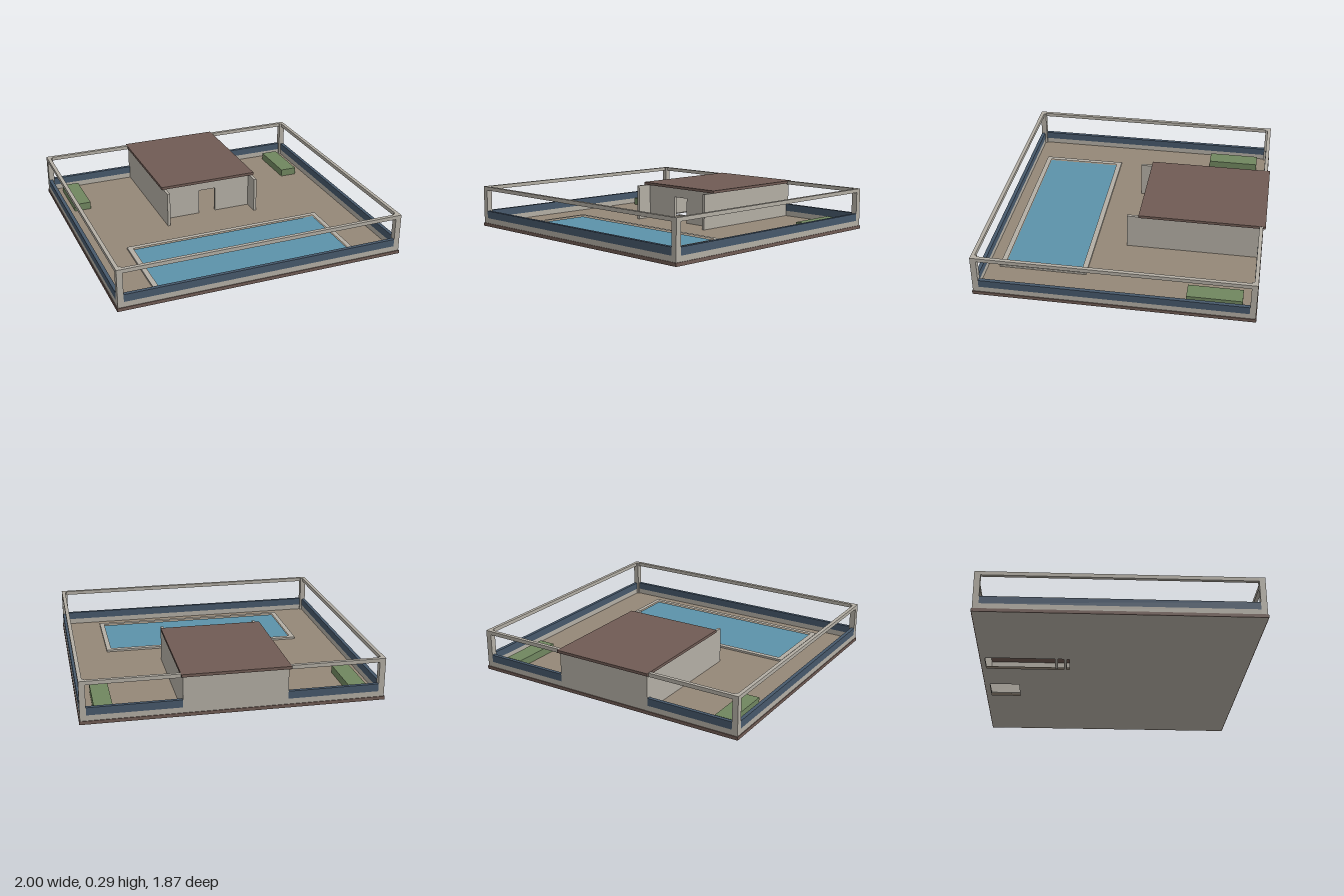
import * as THREE from 'three';

export function createModel() {
  const model = new THREE.Group();
  const mat = (name, color) => {
    const m = new THREE.MeshStandardMaterial({ color });
    m.name = name;
    return m;
  };
  const concrete = mat('concrete', 0xb3aea4);
  const brown = mat('roof brown', 0x705b54);
  const tan = mat('tan paving', 0x948777);
  const blue = mat('blue glass band', 0x46586b);
  const water = mat('pool water', 0x5c92aa);
  const green = mat('hedge green', 0x70865f);

  // Box given by its limits on each axis
  const box = (name, m, x0, x1, y0, y1, z0, z1) => {
    const mesh = new THREE.Mesh(new THREE.BoxGeometry(x1 - x0, y1 - y0, z1 - z0), m);
    mesh.position.set((x0 + x1) / 2, (y0 + y1) / 2, (z0 + z1) / 2);
    mesh.name = name;
    model.add(mesh);
    return mesh;
  };
  const rect = (Type, [x0, x1, z0, z1]) => new Type([
    new THREE.Vector2(x0, -z0), new THREE.Vector2(x1, -z0),
    new THREE.Vector2(x1, -z1), new THREE.Vector2(x0, -z1)]);
  // Horizontal plate with rectangular openings
  const plate = (name, m, y0, y1, outer, holes) => {
    const shape = rect(THREE.Shape, outer);
    shape.holes = holes.map(h => rect(THREE.Path, h));
    const geo = new THREE.ExtrudeGeometry(shape, { depth: y1 - y0, bevelEnabled: false });
    geo.rotateX(-Math.PI / 2);
    const mesh = new THREE.Mesh(geo, m);
    mesh.position.y = y0;
    mesh.name = name;
    model.add(mesh);
  };

  const X = 0.995, ZB = -0.92, ZF = 0.932, T = 0.025, P = 0.04, F = 0.022, H = 0.29;
  const openings = [[0.12, 0.325, -0.885, -0.675], [-0.325, -0.155, -0.89, -0.31]];

  // Slab, paving and the skirting around them
  plate('slab', concrete, 0, 0.016, [-X, X, ZB, ZF], openings);
  plate('paving', tan, 0.016, F, [-X, X, ZB, ZF], openings);
  plate('skirting', brown, 0, F + 0.001, [-1, 1, -0.925, 0.937], [[-X, X, ZB, ZF]]);

  // Perimeter: low wall, blue band and top rail, with the hut filling a gap at the back
  const W = 0.345;
  const layers = [['lowWall', concrete, F, 0.06], ['blueBand', blue, 0.06, 0.112], ['topRail', concrete, 0.264, H]];
  for (const [name, m, y0, y1] of layers) {
    box(name + 'Front', m, -X + P, X - P, y0, y1, ZF - T, ZF);
    for (const s of [-1, 1]) {
      const a = s * (X - T), b = s * X;
      box(name + 'Side', m, Math.min(a, b), Math.max(a, b), y0, y1, ZB + P, ZF - P);
      const c = s * W, d = s * (X - P);
      box(name + 'Back', m, Math.min(c, d), Math.max(c, d), y0, y1, ZB, ZB + T);
    }
  }
  for (const x of [-X, X - P]) for (const z of [ZB, ZF - P])
    box('cornerPost', concrete, x, x + P, F, H, z, z + P);

  // Hut: side walls run forward past the front wall as wings
  const top = 0.272, fz = -0.1, t = 0.02;
  for (const x of [-W, W - t]) box('hutSideWall', concrete, x, x + t, F, top, ZB, 0.012);
  box('hutBackWall', concrete, -W + t, W - t, F, top, ZB, ZB + t);
  for (const s of [-1, 1]) {
    const a = s * 0.0625, b = s * (W - t);
    box('hutFrontWall', concrete, Math.min(a, b), Math.max(a, b), F, top, fz - t, fz);
  }
  box('doorLintel', concrete, -0.0625, 0.0625, 0.203, top, fz - t, fz);
  box('hutRoof', brown, -0.358, 0.356, top, H + 0.001, -0.937, -0.07);

  // Treads at the front end of the stair opening
  for (let i = 0; i < 2; i++)
    box('stairTread', concrete, -0.325, -0.155, 0.002, 0.01, -0.35 - i * 0.06, -0.33 - i * 0.06);

  // Pool
  plate('poolRim', concrete, F, 0.036, [-0.72, 0.715, 0.23, 0.828], [[-0.685, 0.682, 0.265, 0.793]]);
  box('poolWater', water, -0.685, 0.682, F, 0.027, 0.265, 0.793);

  // Hedges
  for (const x of [-0.905, 0.78]) box('hedge', green, x, x + 0.12, F, 0.075, -0.83, -0.465);

  return model;
}
